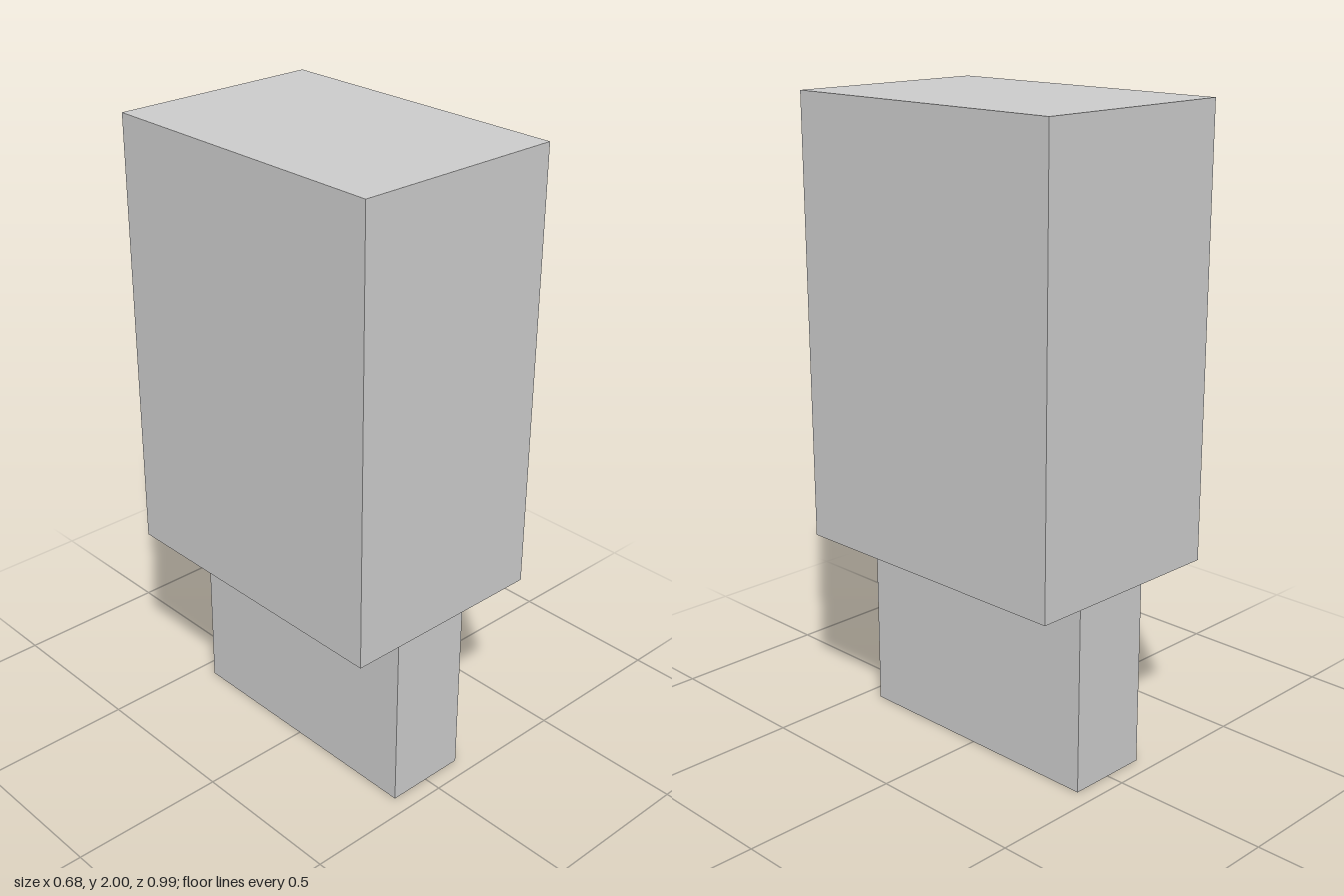
import * as THREE from 'three';

export function createModel() {
  const model = new THREE.Group();
  model.name = 'steppedBlock';
  const material = new THREE.MeshStandardMaterial({ color: 0xcccccc, flatShading: true });

  // Adds a box standing on the height 'bottom'
  const addBlock = (name, width, height, depth, bottom) => {
    const mesh = new THREE.Mesh(new THREE.BoxGeometry(width, height, depth), material);
    mesh.name = name;
    mesh.position.y = bottom + height / 2;
    model.add(mesh);
  };

  const stemHeight = 0.62;
  addBlock('stem', 0.27, stemHeight, 0.885, 0); // narrow lower block
  addBlock('body', 0.677, 2 - stemHeight, 0.988, stemHeight); // wide upper block

  return model;
}
